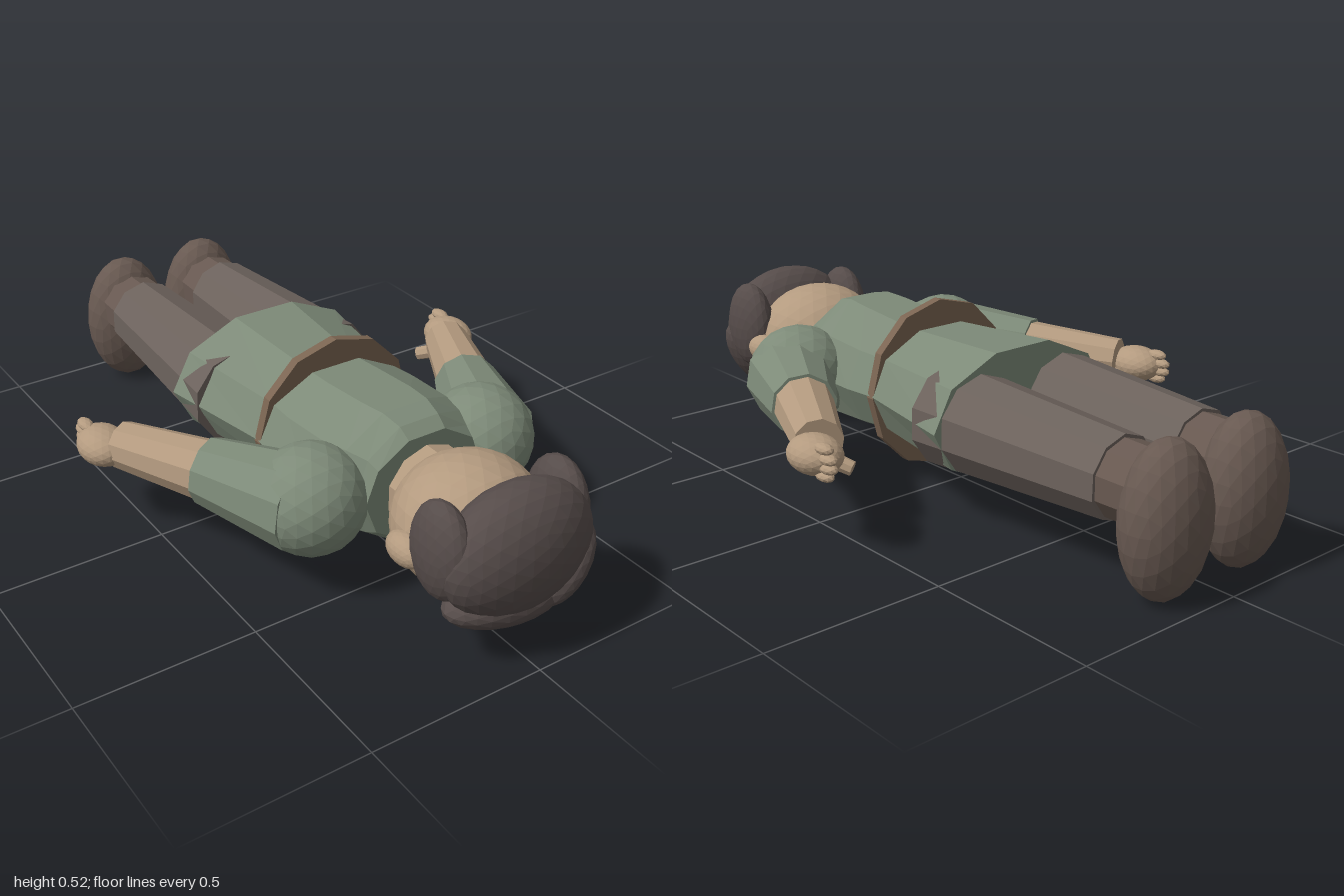
import * as THREE from 'three';

const V = (x, y, z) => new THREE.Vector3(x, y, z);
const mat = (color) => new THREE.MeshStandardMaterial({ color, flatShading: true });

export function createModel() {
  const root = new THREE.Group();
  const skin = mat(0xb39a7f), green = mat(0x7d8a78), trouser = mat(0x6c625c);
  const boot = mat(0x685951), hair = mat(0x564c4a), leather = mat(0x7b6552), dark = mat(0x3a2c30);

  const add = (name, geo, material, parent = root) => {
    const mesh = new THREE.Mesh(geo, material);
    mesh.name = name;
    parent.add(mesh);
    return mesh;
  };
  // Faceted ellipsoid with centre c and radii r
  const blob = (name, c, r, material, parent = root, detail = 3) => {
    const mesh = add(name, new THREE.IcosahedronGeometry(1, detail), material, parent);
    mesh.position.set(...c);
    mesh.scale.set(...r);
    return mesh;
  };
  // Tapered cylinder from a (radius ra) to b (radius rb)
  const limb = (name, a, b, ra, rb, sides, material, parent = root) => {
    const d = b.clone().sub(a);
    const mesh = add(name, new THREE.CylinderGeometry(rb, ra, d.length(), sides), material, parent);
    mesh.position.copy(a).add(b).multiplyScalar(0.5);
    mesh.quaternion.setFromUnitVectors(V(0, 1, 0), d.normalize());
    return mesh;
  };

  // Tunic lofted along z: [z, half width, half depth]
  const sections = [
    [-0.255, 0, 0], [-0.255, 0.31, 0.18], [0.1, 0.245, 0.163], [0.2, 0.255, 0.17],
    [0.35, 0.25, 0.183], [0.43, 0.225, 0.188], [0.49, 0.195, 0.175], [0.525, 0.185, 0.15], [0.525, 0, 0],
  ];
  const sides = 10, pos = [], index = [];
  sections.forEach(([z, rx, ry], i) => {
    for (let j = 0; j < sides; j++) {
      const t = (j / sides) * Math.PI * 2;
      pos.push(rx * Math.cos(t), 0.275 + (ry / Math.cos(Math.PI / sides)) * Math.sin(t), z);
      if (i === 0) continue;
      const k = (j + 1) % sides, p = (i - 1) * sides, q = i * sides;
      index.push(p + j, p + k, q + k, p + j, q + k, q + j);
    }
  });
  const tunic = new THREE.BufferGeometry();
  tunic.setAttribute('position', new THREE.Float32BufferAttribute(pos, 3));
  tunic.setIndex(index);
  tunic.computeVertexNormals();
  add('tunic', tunic, green);

  // Belt disc around the waist
  const belt = add('belt', new THREE.CylinderGeometry(0.247, 0.247, 0.027, 12), leather);
  belt.rotation.x = Math.PI / 2;
  belt.position.set(0, 0.27, 0.104);

  // Legs and arms, one pair per side
  for (const s of [1, -1]) {
    const side = s > 0 ? 'left' : 'right';
    const leg = new THREE.Group();
    leg.name = side + 'Leg';
    root.add(leg);
    limb('trouserLeg', V(s * 0.155, 0.27, -0.14), V(s * 0.142, 0.27, -0.76), 0.145, 0.112, 10, trouser, leg);
    limb('bootShaft', V(s * 0.142, 0.27, -0.74), V(s * 0.142, 0.27, -0.9), 0.104, 0.1, 10, boot, leg);
    blob('bootFoot', [s * 0.142, 0.207, -0.898], [0.13, 0.206, 0.102], boot, leg);

    const arm = new THREE.Group();
    arm.name = side + 'Arm';
    root.add(arm);
    blob('shoulder', [s * 0.275, 0.27, 0.41], [0.15, 0.15, 0.15], green, arm);
    limb('sleeve', V(s * 0.305, 0.27, 0.415), V(s * 0.43, 0.275, 0.158), 0.13, 0.092, 10, green, arm);
    limb('forearm', V(s * 0.42, 0.275, 0.18), V(s * 0.555, 0.268, -0.09), 0.085, 0.066, 10, skin, arm);
    blob('hand', [s * 0.595, 0.26, -0.13], [0.068, 0.052, 0.085], skin, arm);
    for (let i = 0; i < 4; i++) {
      const y = 0.225 + i * 0.024, reach = i === 0 || i === 3 ? 0.195 : 0.21;
      blob('finger', [s * 0.612, y, -reach], [0.02, 0.015, 0.034], skin, arm, 1);
    }
    limb('thumb', V(s * 0.55, 0.235, -0.095), V(s * 0.502, 0.205, -0.16), 0.024, 0.02, 8, skin, arm);
  }

  // Head, facing downwards
  limb('neck', V(0, 0.275, 0.48), V(0, 0.275, 0.6), 0.12, 0.12, 10, skin);
  blob('head', [0, 0.27, 0.7], [0.2, 0.175, 0.19], skin, root, 4);
  blob('nose', [0, 0.09, 0.69], [0.05, 0.043, 0.06], skin);
  limb('mouth', V(-0.05, 0.098, 0.612), V(0.05, 0.098, 0.612), 0.011, 0.011, 6, dark);
  for (const s of [1, -1]) {
    blob('ear', [s * 0.2, 0.268, 0.715], [0.042, 0.043, 0.066], skin);
    blob('eye', [s * 0.07, 0.114, 0.765], [0.02, 0.016, 0.022], dark, root, 2);
    limb('eyebrow', V(s * 0.045, 0.118, 0.82), V(s * 0.11, 0.13, 0.812), 0.013, 0.01, 6, hair);
    blob('sideHair', [s * 0.18, 0.32, 0.82], [0.057, 0.135, 0.1], hair);
  }

  // Hair cap and swept fringe
  blob('hairCap', [0, 0.295, 0.878], [0.222, 0.177, 0.118], hair, root, 4);
  const fringe = blob('fringe', [-0.02, 0.148, 0.872], [0.185, 0.062, 0.085], hair);
  fringe.rotation.z = -0.15;
  const lock = blob('fringeLock', [0.14, 0.205, 0.885], [0.063, 0.13, 0.085], hair);
  lock.rotation.z = -0.55;

  return root;
}
